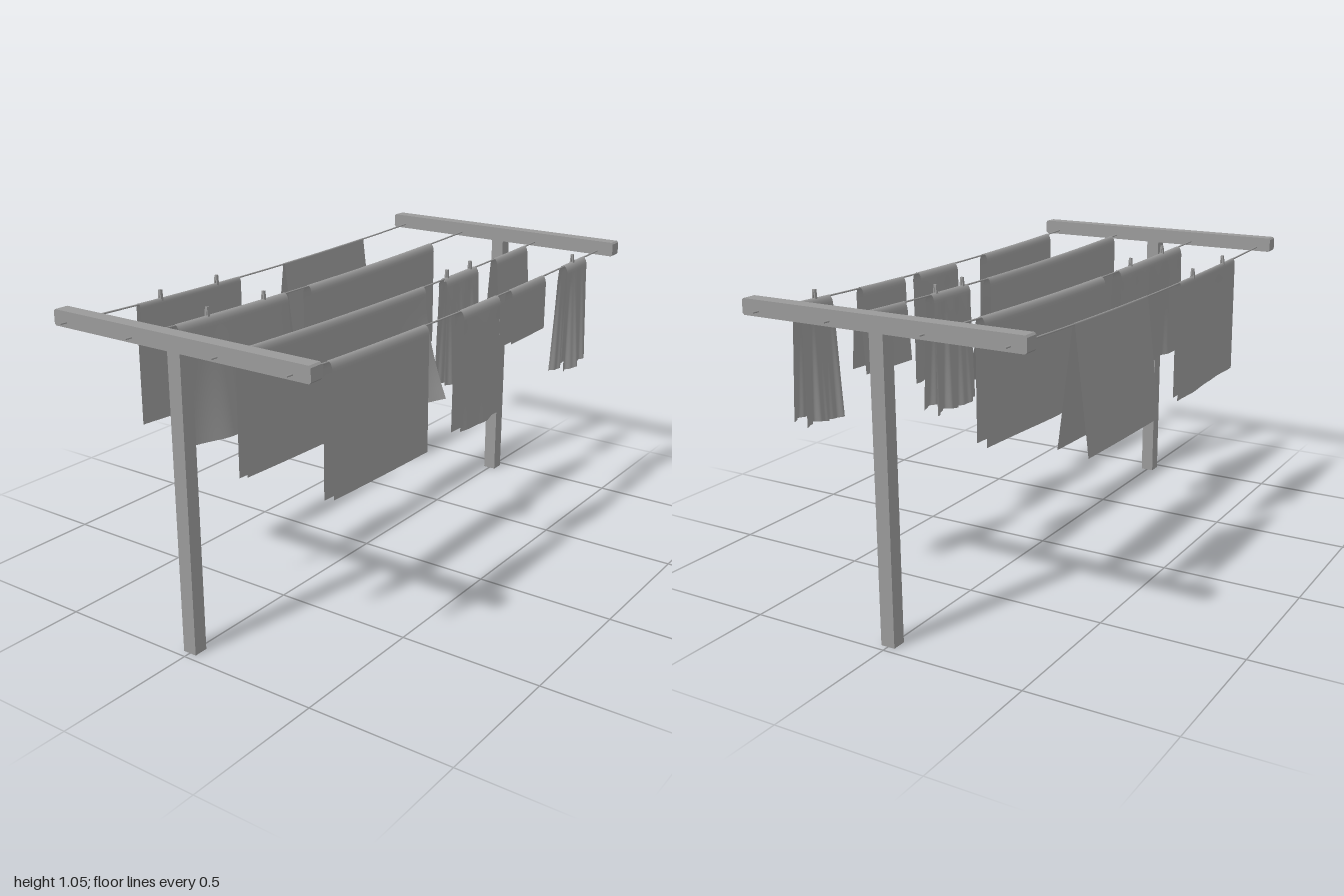
import * as THREE from 'three';

const grey = new THREE.MeshStandardMaterial({ color: 0x999999 });
const clothGrey = new THREE.MeshStandardMaterial({ color: 0x999999, side: THREE.DoubleSide });

const LINES = [-0.453, -0.17, 0.17, 0.443];
const lineY = z => 1 + 0.02 * z * z;
const bump = (z, centre, width) => Math.exp(-(((z - centre) / width) ** 2));

function add(parent, name, geometry, x = 0, y = 0, z = 0, material = grey) {
  const mesh = new THREE.Mesh(geometry, material);
  mesh.name = name;
  mesh.position.set(x, y, z);
  parent.add(mesh);
  return mesh;
}

// Vertical pleats that deepen towards the hem (t = 0 at the fold, 1 at the hem)
const pleats = (amp, freq, phase) => (z, t) =>
  amp * (0.25 + 0.75 * t) * Math.sin(freq * z + phase) + amp * 0.4 * t * Math.sin(freq * 2.3 * z + phase * 2);

const straight = () => 0;

// Sheet folded over a line: two legs of length len, hanging out sideways by out,
// with bends [left, right] as functions of (z, t) and a hem offset as a function of z
function addCloth(parent, name, x, z0, z1, options) {
  const { len, out, r = 0.015, fold = 0.032, bends = [straight, straight], hem = straight, spread = 0, nz = 32 } = options;
  const legSteps = 12, arcSteps = 10, n = 2 * legSteps + arcSteps + 1;

  // One point of the cross-section at z, counted from the left hem over the line to the right hem
  const point = (i, u) => {
    const z = z0 + (z1 - z0) * u, top = lineY(z) + 0.004;
    const arc = i - legSteps;
    if (arc >= 0 && arc <= arcSteps) {
      const a = Math.PI * (1 - arc / arcSteps);
      return [x + r * Math.cos(a), top - fold * (1 - Math.sin(a)), z];
    }
    const side = arc < 0 ? 0 : 1;
    const t = (side ? arc - arcSteps : -arc) / legSteps;
    const length = len - side * 0.01 + hem(z, side);
    return [
      x + (side ? 1 : -1) * (r + (out - r) * t) + bends[side](z, t),
      top - fold - (length - fold) * t,
      z + spread * (u - 0.5) * t,
    ];
  };

  const pos = [], index = [];
  for (let k = 0; k <= nz; k++) {
    for (let i = 0; i < n; i++) {
      pos.push(...point(i, k / nz));
      if (k === nz || i === n - 1) continue;
      const a = k * n + i, c = a + n;
      index.push(a, c, a + 1, a + 1, c, c + 1);
    }
  }
  const g = new THREE.BufferGeometry();
  g.setAttribute('position', new THREE.Float32BufferAttribute(pos, 3));
  g.setIndex(index);
  g.computeVertexNormals();
  add(parent, name, g, 0, 0, 0, clothGrey);
}

// Deeply pleated garment with a bulge on its right side
function addGarment(parent, name, x, z0, z1, bulgeZ, freq) {
  const right = pleats(0.007, freq, 2);
  addCloth(parent, name, x, z0, z1, {
    len: 0.41, out: 0.024, r: 0.018, spread: 0.035, nz: 64,
    bends: [pleats(0.009, freq, 0.4), (z, t) => 0.015 * t * bump(z, bulgeZ, 0.045) + right(z, t)],
    hem: z => 0.006 * Math.sin(35 * z),
  });
}

// Two prongs leaning together at the top
function addPeg(parent, x, z) {
  const peg = new THREE.Group();
  peg.name = 'peg';
  peg.position.set(x, lineY(z) + 0.009, z);
  for (const s of [-1, 1]) {
    add(peg, 'prong', new THREE.BoxGeometry(0.005, 0.046, 0.01), s * 0.004).rotation.z = s * 0.08;
  }
  parent.add(peg);
}

// Crossbar with small chamfers at its ends
function barGeometry() {
  const w = 0.507, h = 0.0265, c = 0.006;
  const shape = new THREE.Shape().moveTo(c - w, -h);
  for (const s of [1, -1]) {
    shape.lineTo(s * (w - c), -s * h);
    shape.lineTo(s * w, -s * (h - c));
    shape.lineTo(s * w, s * (h - c));
    shape.lineTo(s * (w - c), s * h);
  }
  return new THREE.ExtrudeGeometry(shape, { depth: 0.05, bevelEnabled: false }).translate(0, 0, -0.025);
}

export function createModel() {
  const model = new THREE.Group();
  model.name = 'clothesline';
  const [a, b, c, d] = LINES;

  // End frames
  for (const side of [1, -1]) {
    const frame = new THREE.Group();
    frame.name = side > 0 ? 'frontFrame' : 'backFrame';
    add(frame, 'post', new THREE.BoxGeometry(0.05, 1.002, 0.05), 0, 0.501, 0.95 * side);
    add(frame, 'crossbar', barGeometry(), 0, 1.0285, 0.95 * side);
    model.add(frame);
  }

  // Sagging lines
  for (const x of LINES) {
    const points = Array.from({ length: 9 }, (_, i) => new THREE.Vector3(x, lineY(i / 4 - 1), i / 4 - 1));
    add(model, 'line', new THREE.TubeGeometry(new THREE.CatmullRomCurve3(points), 24, 0.003, 6));
    for (const z of [-1, 1]) {
      add(model, 'lineEnd', new THREE.CircleGeometry(0.003, 6), x, lineY(z), z).rotation.y = z < 0 ? Math.PI : 0;
    }
  }

  // Flat laundry
  addCloth(model, 'spreadTowel', a, -0.61, -0.1, { len: 0.415, out: 0.054, r: 0.004, fold: 0.006 });
  addCloth(model, 'shortCloth', c, -0.84, -0.6, { len: 0.19, out: 0.026 });
  addCloth(model, 'smallCloth', d, -0.475, -0.23, { len: 0.205, out: 0.015 });
  addCloth(model, 'frontTowel', d, 0.31, 0.815, { len: 0.435, out: 0.018, r: 0.017 });

  // Gently curved laundry
  addCloth(model, 'flatTowel', a, 0.16, 0.665, {
    len: 0.43, out: 0.009, r: 0.009, fold: 0.02, bends: [pleats(0.003, 16, 0), straight],
  });
  addCloth(model, 'longSheet', b, -0.68, 0.12, {
    len: 0.415, out: 0.018, r: 0.018,
    bends: [(z, t) => -0.01 * t * bump(z, -0.25, 0.2), (z, t) => 0.005 * t * bump(z, -0.05, 0.15)],
  });
  addCloth(model, 'handTowel', d, -0.14, 0.1, {
    len: 0.43, out: 0.023, r: 0.018, bends: [pleats(0.006, 28, 0.5), pleats(0.007, 25, 2.2)],
  });

  // Sheets caught by the wind
  const ripple = pleats(0.005, 50, 1);
  addCloth(model, 'wavySheet', b, 0.25, 0.79, {
    len: 0.415, out: 0.022, r: 0.018, spread: 0.03, nz: 64,
    bends: [
      (z, t) => 0.02 * t * bump(z, 0.6, 0.1) + ripple(z, t),
      (z, t) => t * (0.046 * bump(z, 0.6, 0.11) + 0.028 * bump(z, 0.36, 0.09)),
    ],
  });
  addCloth(model, 'blownSheet', c, -0.1, 0.88, {
    len: 0.41, out: 0.016, nz: 48,
    bends: [straight, (z, t) => 0.09 * t ** 1.7 * Math.max(0, (0.4 - z) / 0.5) ** 2.8],
    hem: (z, side) => -0.005 * side * Math.max(0, (0.2 - z) / 0.3),
  });

  // Rumpled garments
  addGarment(model, 'rumpledShirt', c, -0.455, -0.235, -0.31, 75);
  addGarment(model, 'rumpledTrousers', d, -0.8, -0.64, -0.71, 90);

  // Pegs
  for (const z of [0.28, 0.56]) addPeg(model, a, z);
  for (const z of [0.36, 0.64]) addPeg(model, b, z);
  for (const z of [-0.42, -0.26]) addPeg(model, c, z);
  addPeg(model, d, -0.71);
  return model;
}
